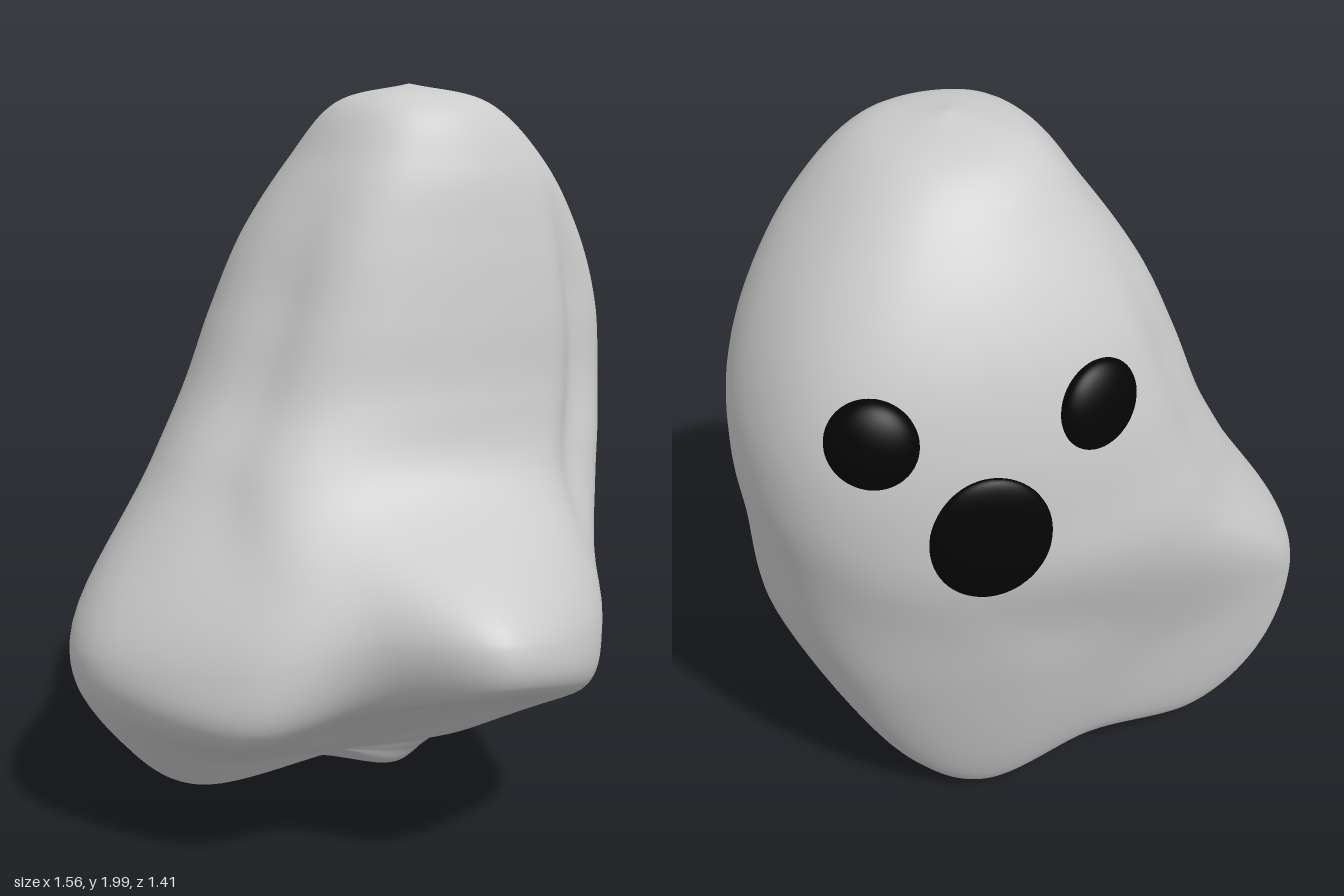
import * as THREE from 'three';
import { mergeVertices } from 'three/addons/utils/BufferGeometryUtils.js';

const V = (x, y, z) => new THREE.Vector3(x, y, z);
const SIDES = 12, COLS = 120, ROWS = 100;

// Rounded cross-section at height y, from its extents in x and z
function ovalRing(y, x0, x1, z0, z1) {
  const p = 2 / 2.35;
  return Array.from({ length: SIDES }, (_, i) => {
    const a = (i / SIDES) * Math.PI * 2, c = Math.cos(a), s = Math.sin(a);
    return V((x0 + x1) / 2 + ((x1 - x0) / 2) * Math.sign(c) * Math.abs(c) ** p, y,
      (z0 + z1) / 2 + ((z1 - z0) / 2) * Math.sign(s) * Math.abs(s) ** p);
  });
}
const freeRing = (pts) => pts.map((p) => V(...p));
const point = (x, y, z) => Array.from({ length: SIDES }, () => V(x, y, z));

// Rings from the crown down to the hem and in under the body; each starts at +x and turns to +z
const rings = [
  point(0.2, 2, -0.17),
  ovalRing(1.95, 0.01, 0.4, -0.37, 0.04),
  ovalRing(1.8, -0.11, 0.57, -0.51, 0.125),
  ovalRing(1.6, -0.24, 0.7, -0.62, 0.17),
  ovalRing(1.4, -0.33, 0.765, -0.67, 0.2),
  ovalRing(1.2, -0.41, 0.775, -0.685, 0.225),
  ovalRing(1.0, -0.52, 0.75, -0.68, 0.29),
  // flared skirt with its folds
  freeRing([
    [0.7, 0.65, -0.15], [0.62, 0.62, 0.12], [0.46, 0.62, 0.43], [0.06, 0.7, 0.68],
    [-0.23, 0.68, 0.46], [-0.5, 0.6, 0.31], [-0.76, 0.57, -0.05], [-0.74, 0.54, -0.34],
    [-0.55, 0.58, -0.47], [-0.2, 0.55, -0.52], [0.2, 0.6, -0.58], [0.55, 0.6, -0.46]]),
  // hem
  freeRing([
    [0.5, 0.27, -0.15], [0.5, 0.32, 0.1], [0.42, 0.46, 0.44], [0.05, 0.58, 0.67],
    [-0.2, 0.5, 0.42], [-0.5, 0.42, 0.31], [-0.73, 0.41, -0.05], [-0.67, 0.28, -0.34],
    [-0.46, 0.09, -0.37], [-0.1, 0.13, -0.4], [0.2, 0.04, -0.38], [0.4, 0.14, -0.32]]),
  // underside
  freeRing([
    [0.32, 0.15, -0.15], [0.3, 0.22, 0.05], [0.25, 0.36, 0.25], [0.03, 0.46, 0.4],
    [-0.15, 0.38, 0.22], [-0.35, 0.3, 0.12], [-0.5, 0.22, -0.08], [-0.48, 0.11, -0.22],
    [-0.38, 0.06, -0.26], [-0.1, 0.09, -0.28], [0.2, 0.01, -0.28], [0.3, 0.07, -0.24]]),
  point(-0.03, 0.15, -0.12),
];

// Soft vertical grooves in the cloth: angle, width, depth
const grooves = [[0.85, 0.2, 0.05], [2.65, 0.25, 0.035], [3.75, 0.22, 0.025]];

function bodyGeometry() {
  const loops = rings.map((r) => new THREE.CatmullRomCurve3(r, true, 'catmullrom', 0.5));
  const pos = [], index = [];
  for (let c = 0; c < COLS; c++) {
    const u = c / COLS, a = u * Math.PI * 2;
    const column = new THREE.CatmullRomCurve3(loops.map((l) => l.getPoint(u)));
    const depth = grooves.reduce((d, [g, w, k]) => d + k * Math.exp(-(((a - g) / w) ** 2)), 0);
    for (let r = 0; r <= ROWS; r++) {
      const p = column.getPoint(r / ROWS);
      const fade = THREE.MathUtils.smoothstep(p.y, 0.6, 1) * (1 - THREE.MathUtils.smoothstep(p.y, 1.4, 1.85));
      p.x -= Math.cos(a) * depth * fade;
      p.z -= Math.sin(a) * depth * fade;
      pos.push(p.x, Math.max(p.y, 0), p.z);
      if (r < ROWS) {
        const i = c * (ROWS + 1) + r, j = ((c + 1) % COLS) * (ROWS + 1) + r;
        if (r > 0) index.push(i, j, i + 1);
        if (r < ROWS - 1) index.push(j, j + 1, i + 1);
      }
    }
  }
  const g = new THREE.BufferGeometry();
  g.setAttribute('position', new THREE.Float32BufferAttribute(pos, 3));
  g.setIndex(index);
  const merged = mergeVertices(g, 1e-5);
  merged.computeVertexNormals();
  return merged;
}

export function createModel() {
  const model = new THREE.Group();
  model.name = 'ghost';
  const body = new THREE.Mesh(bodyGeometry(), new THREE.MeshStandardMaterial({ color: 0xcccccc }));
  body.name = 'body';
  model.add(body);

  // Face: flattened black ovals set into the back of the cloth
  const black = new THREE.MeshStandardMaterial({ color: 0x050505 });
  const oval = new THREE.SphereGeometry(1, 40, 28);
  const addOval = (name, position, size, yaw, pitch) => {
    const m = new THREE.Mesh(oval, black);
    m.name = name;
    m.position.set(...position);
    m.scale.set(...size);
    m.rotation.set(pitch, yaw, 0, 'YXZ');
    model.add(m);
  };
  addOval('rightEye', [0.035, 1.475, -0.662], [0.105, 0.11, 0.045], 0.3, 0.1);
  addOval('leftEye', [0.55, 1.468, -0.61], [0.105, 0.11, 0.058], -0.45, 0.1);
  addOval('mouth', [0.3, 1.175, -0.672], [0.145, 0.178, 0.04], -0.18, -0.05);
  return model;
}
